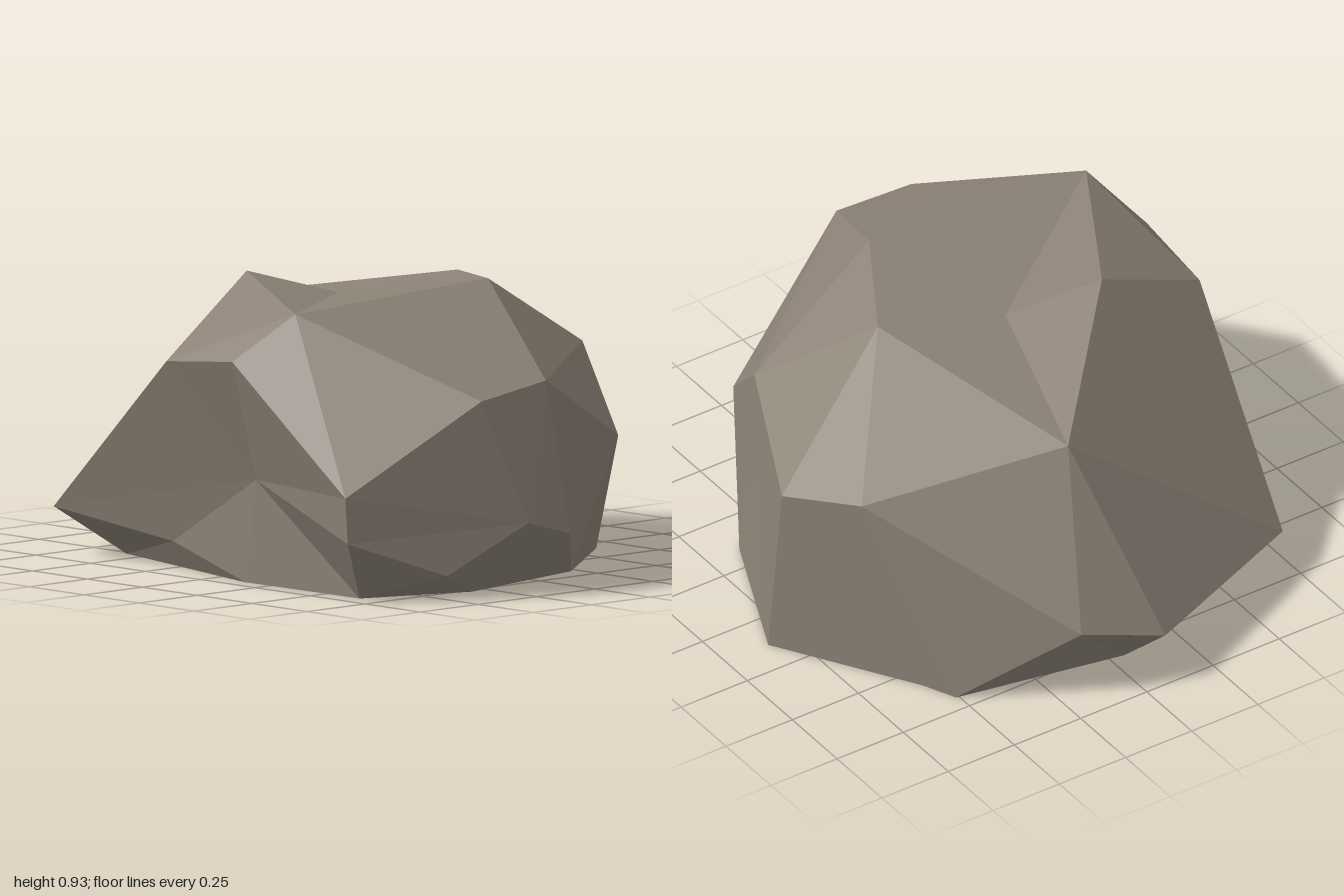
import * as THREE from 'three';

// Corner points of the boulder, one letter each
const corners = {
  // crown (B is the shallow dip between the high points)
  A: [-0.40, 0.925, -0.16], B: [-0.11, 0.84, -0.05], C: [0.08, 0.915, 0.43],
  D: [0.29, 0.885, 0.07], E: [0.06, 0.765, -0.65], L: [-0.72, 0.875, 0.40],
  // shoulder
  F: [0.67, 0.63, -0.40], G: [0.815, 0.59, -0.17], H: [0.58, 0.66, 0.33],
  I: [0.47, 0.40, 0.61], J: [-0.12, 0.66, 0.905], K: [-0.42, 0.625, 0.93],
  M: [-0.84, 0.72, 0.24], N: [-0.83, 0.69, -0.07],
  // lower bulges (X and Q form the hollow on the -x side)
  O: [-0.835, 0.34, 0.75], P: [-0.825, 0.195, 0.75], R: [-0.53, 0.08, 0.89],
  S: [-0.28, 0.235, 0.995], T: [0, 0.165, 0.89], U: [-0.07, 0.19, -1],
  V: [0.20, 0.26, -0.93], W: [-0.71, 0.155, -0.71], X: [-0.70, 0.33, 0.20],
  Q: [-0.66, 0.09, -0.22],
  // foot outline on the ground
  a: [0.22, 0, 0.66], b: [0.63, 0, 0.34], c: [0.84, 0, -0.13], d: [0.56, 0, -0.58],
  e: [0.51, 0, -0.69], f: [-0.05, 0, -0.80], g: [-0.52, 0, -0.58],
  h: [-0.69, 0, 0.14], i: [-0.68, 0, 0.65], j: [-0.32, 0, 0.78],
};

// Facets as fans: the first corner is the hub, the rest run around it
const crown = ['BLCDEAL', 'DEFGHC'];
const sides = ['JLCHIaTSKL', 'HIbcG', 'Iab', 'SKOPRjT', 'OKLMXP', 'ihXPRj', 'Tja',
  'NALMXWA', 'EAWUVF', 'QWXhgW', 'FVedcG', 'feVUg', 'WUg'];
const foot = ['abcdefghij'];

// Turn fans into flat facets that all face away from the core
function fanGeometry(fans) {
  const core = new THREE.Vector3(0, 0.4, 0);
  const points = [];
  for (const fan of fans) {
    for (let n = 1; n < fan.length - 1; n++) {
      const [p, q, r] = [fan[0], fan[n], fan[n + 1]].map((k) => new THREE.Vector3(...corners[k]));
      const normal = q.clone().sub(p).cross(r.clone().sub(p));
      const centre = p.clone().add(q).add(r).divideScalar(3).sub(core);
      points.push(...(normal.dot(centre) > 0 ? [p, q, r] : [p, r, q]));
    }
  }
  const geometry = new THREE.BufferGeometry().setFromPoints(points);
  geometry.computeVertexNormals();
  return geometry;
}

export function createModel() {
  const group = new THREE.Group();
  group.name = 'boulder';
  const stone = new THREE.MeshStandardMaterial({ color: 0x8c8276 });
  stone.name = 'warm grey stone';
  stone.flatShading = true;

  const parts = { rockCrown: crown, rockSides: sides, rockFoot: foot };
  for (const [name, fans] of Object.entries(parts)) {
    const mesh = new THREE.Mesh(fanGeometry(fans), stone);
    mesh.name = name;
    group.add(mesh);
  }
  return group;
}
